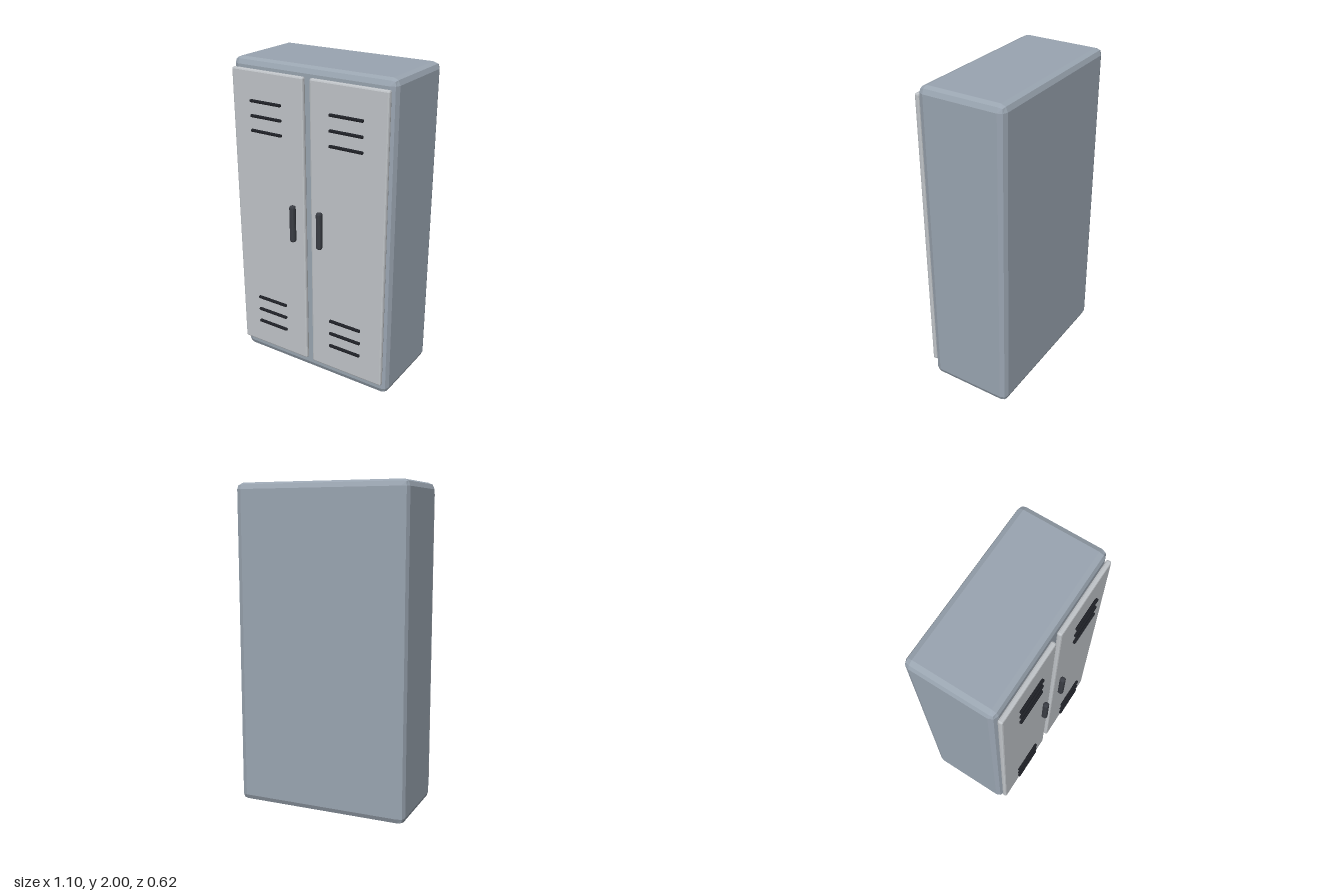
import * as THREE from 'three';
import { RoundedBoxGeometry } from 'three/addons/geometries/RoundedBoxGeometry.js';

const paint = (color) => new THREE.MeshStandardMaterial({ color, flatShading: true });

// Box with a two-facet bevel along every edge
function bevelBox(name, size, bevel, position, material) {
  const mesh = new THREE.Mesh(new RoundedBoxGeometry(...size, 1, bevel), material);
  mesh.name = name;
  mesh.position.set(...position);
  return mesh;
}

export function createModel() {
  const bodyPaint = paint(0x9aa5b1);
  const doorPaint = paint(0xc0c4c8);
  const handlePaint = paint(0x3a3d44);
  const slotPaint = paint(0x1e2026);

  const locker = new THREE.Group();
  locker.name = 'locker';

  // Cabinet body
  locker.add(bevelBox('cabinet', [1.095, 2, 0.547], 0.04, [0, 1, -0.036], bodyPaint));

  // Two doors, each with a handle near the middle and two sets of vents
  for (const side of [-1, 1]) {
    const door = new THREE.Group();
    door.name = side > 0 ? 'leftDoor' : 'rightDoor';
    door.position.x = -0.003;

    door.add(bevelBox('doorPanel', [0.506, 1.86, 0.031], 0.01, [side * 0.275, 1.015, 0.256], doorPaint));
    door.add(bevelBox('handle', [0.035, 0.24, 0.035], 0.012, [side * 0.096, 1.045, 0.291], handlePaint));

    for (const top of [1.766, 0.445]) {
      for (let i = 0; i < 3; i++) {
        door.add(bevelBox('ventSlat', [0.221, 0.018, 0.018], 0.006,
          [side * 0.275, top - i * 0.09, 0.288], slotPaint));
      }
    }
    locker.add(door);
  }
  return locker;
}
